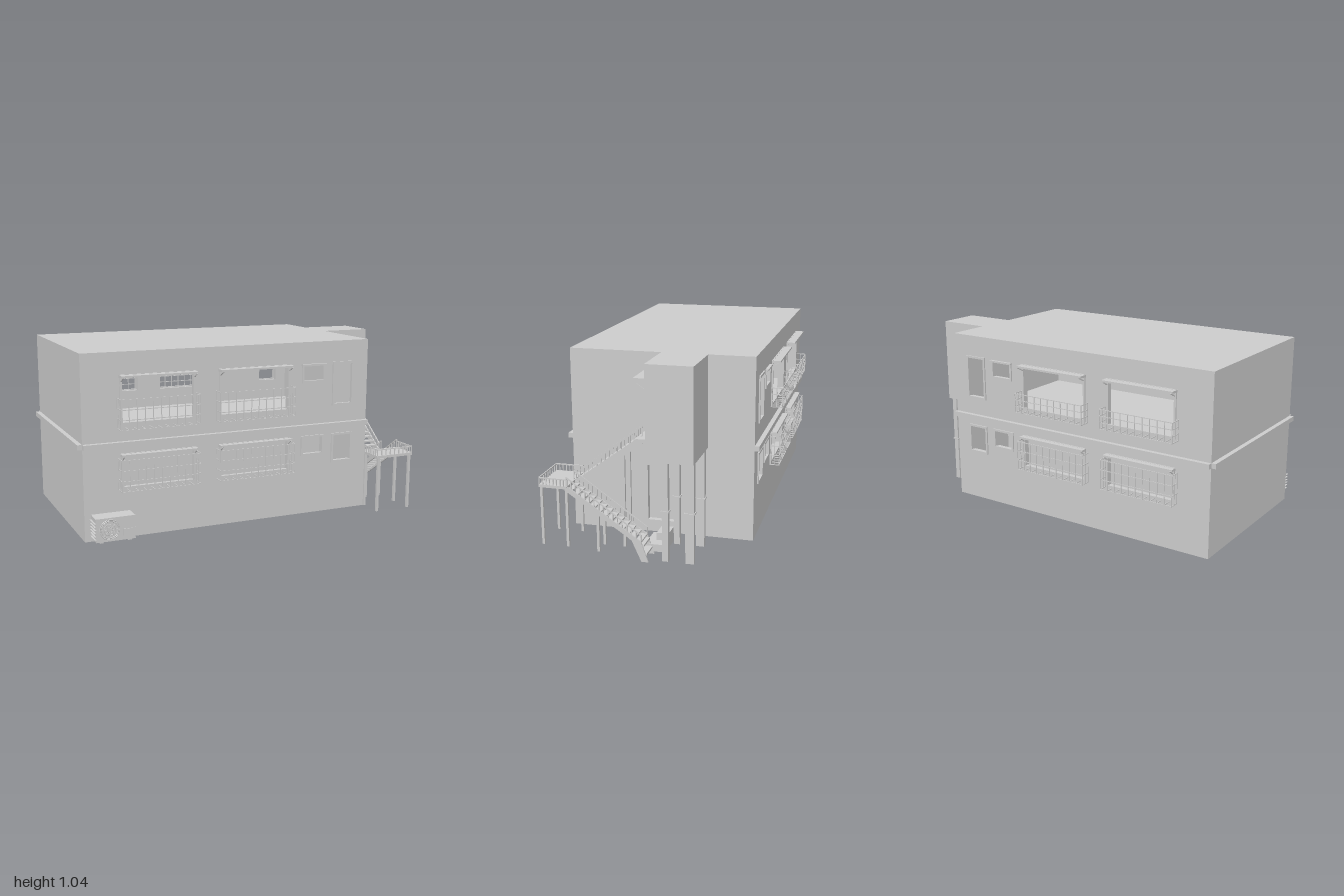
import * as THREE from 'three';

const mat = new THREE.MeshStandardMaterial({ color: 0xcccccc, flatShading: true, side: THREE.DoubleSide });

function add(parent, name, geo) {
  const m = new THREE.Mesh(geo, mat);
  m.name = name;
  parent.add(m);
  return m;
}
// Box given by its extents
function box(parent, name, x0, x1, y0, y1, z0, z1) {
  const m = add(parent, name, new THREE.BoxGeometry(Math.abs(x1 - x0), Math.abs(y1 - y0), Math.abs(z1 - z0)));
  m.position.set((x0 + x1) / 2, (y0 + y1) / 2, (z0 + z1) / 2);
  return m;
}
// Thin square bar between two points
function bar(parent, name, a, b, t = 0.004) {
  const A = new THREE.Vector3(...a), B = new THREE.Vector3(...b);
  const m = add(parent, name, new THREE.BoxGeometry(t, t, A.distanceTo(B)));
  m.position.copy(A).add(B).multiplyScalar(0.5);
  m.lookAt(B);
  return m;
}
function group(parent, name) {
  const g = new THREE.Group();
  g.name = name;
  parent.add(g);
  return g;
}
const rect = (P, x0, x1, y0, y1) => new P([[x0, y0], [x1, y0], [x1, y1], [x0, y1]].map(p => new THREE.Vector2(...p)));
// Wall slab with rectangular openings
function wallGeo(x0, x1, y0, y1, holes, depth) {
  const s = rect(THREE.Shape, x0, x1, y0, y1);
  s.holes = holes.map(h => rect(THREE.Path, ...h));
  return new THREE.ExtrudeGeometry(s, { depth, bevelEnabled: false });
}
// Side profile in (z, y), extruded along x
function sideProfile(parent, name, pts, x0, x1) {
  const s = new THREE.Shape(pts.map(([z, y]) => new THREE.Vector2(-z, y)));
  const m = add(parent, name, new THREE.ExtrudeGeometry(s, { depth: x1 - x0, bevelEnabled: false }));
  m.rotation.y = Math.PI / 2;
  m.position.x = x0;
  return m;
}

const L = -0.975, R = 0.70, F = 0.475, B = -0.51, Y0 = 0.06, Y1 = 1.04, T = 0.03;
// Openings: x0, x1, y0, y1
const windows = [
  [-0.765, -0.365, 0.67, 0.915], [-0.215, 0.195, 0.67, 0.915], [0.285, 0.415, 0.82, 0.91], [0.48, 0.60, 0.68, 0.915],
  [-0.765, -0.365, 0.33, 0.505], [-0.215, 0.195, 0.33, 0.505], [0.285, 0.415, 0.405, 0.505], [0.48, 0.60, 0.35, 0.505],
];

function buildShell(root) {
  const g = group(root, 'building');
  box(g, 'roof', L, R, Y1 - T, Y1, B, F);
  box(g, 'base', L, R, Y0, Y0 + T, B, F);
  box(g, 'leftWall', L, L + T, Y0 + T, Y1 - T, B, F);
  const holes = windows;
  add(g, 'frontWall', wallGeo(L, R, Y0 + T, Y1 - T, holes, T)).position.z = F - T;
  add(g, 'backWall', wallGeo(L, R, Y0 + T, Y1 - T, holes, T)).position.z = B;
  // Right wall with the ground floor doorway
  const right = add(g, 'rightWall', wallGeo(-F, -B, Y0 + T, Y1 - T, [[-0.06, 0.095, 0.125, 0.43]], T));
  right.rotation.y = Math.PI / 2;
  right.position.x = R - T;
  box(g, 'upperFloor', L + T, R - T, 0.53, 0.56, B + T, F - T);
  box(g, 'corridor', L + T, R - T, Y0 + T, 0.43, -0.095, 0.06);
  box(g, 'tallPane', 0.48, 0.60, 0.68, 0.915, F - 0.014, F - 0.01);
  // Band between the floors
  box(g, 'frontLedge', L, R, 0.55, 0.577, F, 0.50);
  box(g, 'backLedge', L, R, 0.55, 0.577, -0.535, B);
  box(g, 'leftLedge', -1.0, L, 0.55, 0.577, B, F);
}

// Frame, awning and cage for each opening; s = +1 front, -1 back
function buildWindows(root, s) {
  const wall = s > 0 ? F : B;
  const g = group(root, s > 0 ? 'frontWindows' : 'backWindows');
  const z = d => wall + s * d;
  windows.forEach(([x0, x1, y0, y1], i) => {
    const w = 0.012;
    const frame = add(g, 'windowFrame', wallGeo(x0 - w * 0.6, x1 + w * 0.6, y0 - w * 0.6, y1 + w * 0.6,
      [[x0 + w * 0.4, x1 - w * 0.4, y0 + w * 0.4, y1 - w * 0.4]], 0.016));
    frame.position.z = s > 0 ? F - 0.008 : B - 0.008;
    if (i === 2) box(g, 'smallAwning', x0 - 0.01, x1 + 0.01, y1, y1 + 0.008, wall, z(0.018));
    if (i % 4 > 1) return;
    const upper = i < 4, out = upper ? 0.05 : 0.038;
    // Sloped awning
    sideProfile(g, 'awning', [[z(0), y1 - 0.008], [z(out), y1 - 0.004], [z(out), y1 + 0.006], [z(0), y1 + 0.006]], x0 - 0.01, x1 + 0.01);
    for (const x of [x0, x1]) bar(g, 'awningBracket', [x, y1 - 0.03, wall], [x, y1 - 0.003, z(out)], 0.005);
    // Railing cage
    const r = group(g, 'windowRailing');
    const a = x0 - 0.022, b = x1 + 0.013, d = s > 0 ? 0.065 : (upper ? 0.065 : 0.055);
    const lo = upper ? (s > 0 ? 0.645 : 0.66) : 0.322;
    const hi = upper ? (s > 0 ? 0.803 : 0.768) : 0.488;
    for (let k = 0; k < 4; k++) {
      const y = lo + (hi - lo) * k / 3;
      bar(r, 'rail', [a, y, z(d)], [b, y, z(d)]);
      for (const x of [a, b]) bar(r, 'sideRail', [x, y, wall], [x, y, z(d)]);
    }
    for (let k = 0; k <= 10; k++) {
      const x = a + (b - a) * k / 10;
      bar(r, 'upright', [x, lo, z(d)], [x, hi, z(d)]);
      bar(r, 'bottomBar', [x, lo, wall], [x, lo, z(d)]);
    }
    for (const x of [a, b]) for (const q of [0.004, d / 2]) bar(r, 'sideUpright', [x, lo, z(q)], [x, hi, z(q)]);
  });
}

function buildTower(root) {
  const g = group(root, 'tower');
  box(g, 'towerBody', R, 1.0, 0.55, Y1, -0.265, -0.02);
  box(g, 'towerDoor', 0.70, 0.895, 0.63, 0.92, -0.02, -0.016);
  box(g, 'doorCanopy', 0.70, 0.90, 0.92, 0.945, -0.02, 0.07);
  bar(g, 'canopyBrace', [0.893, 0.865, -0.02], [0.893, 0.92, 0.06]);
  // Columns with collars
  for (const x of [0.735, 0.962]) for (const [z, w] of [[-0.111, 0.032], [-0.238, 0.044]]) {
    box(g, 'column', x - 0.015, x + 0.015, 0.02, 0.55, z - w / 2, z + w / 2);
    box(g, 'columnCollar', x - 0.02, x + 0.02, 0.283, 0.29, z - w / 2 - 0.005, z + w / 2 + 0.005);
  }
}

// One stair flight from [z, y] at the foot to [z, y] at the head
function flight(parent, name, x0, x1, foot, head, n, under) {
  const g = group(parent, name);
  const at = t => [foot[0] + (head[0] - foot[0]) * t, foot[1] + (head[1] - foot[1]) * t];
  for (const x of [x0, x1 - 0.008]) {
    sideProfile(g, 'stringer', [foot, head, [head[0], head[1] - under], [foot[0], foot[1] - under]], x, x + 0.008);
    const xc = x + 0.004;
    bar(g, 'handrail', [xc, foot[1] + 0.035, foot[0]], [xc, head[1] + 0.045, head[0]], 0.006);
    for (let k = 0; k <= 16; k++) {
      const [z, y] = at(k / 16);
      bar(g, 'baluster', [xc, y - 0.005, z], [xc, y + 0.035 + 0.01 * k / 16, z], 0.005);
    }
  }
  for (let k = 0; k < n; k++) {
    const [z, y] = at((k + 0.5) / n);
    const d = Math.abs(head[0] - foot[0]) / n / 2 + 0.002;
    box(g, 'tread', x0 + 0.004, x1 - 0.004, y - 0.018, y - 0.01, z - d, z + d);
  }
}

function buildStairs(root) {
  const g = group(root, 'outdoorStairs');
  flight(g, 'upperFlight', 0.735, 0.85, [0.405, 0.37], [0.04, 0.64], 13, 0.045);
  flight(g, 'lowerFlight', 0.85, 0.968, [0.02, 0.11], [0.415, 0.375], 13, 0.03);
  box(g, 'upperLanding', 0.70, 0.90, 0.615, 0.632, -0.02, 0.06);
  // Turning landing with low railing
  box(g, 'middleLanding', 0.73, 0.97, 0.357, 0.372, 0.41, 0.565);
  const corners = [[0.733, 0.41], [0.733, 0.562], [0.967, 0.562], [0.967, 0.41]];
  for (let c = 0; c < 3; c++) {
    const [ax, az] = corners[c], [bx, bz] = corners[c + 1];
    bar(g, 'landingRail', [ax, 0.408, az], [bx, 0.408, bz], 0.006);
    for (let k = 0; k <= 8; k++) {
      const x = ax + (bx - ax) * k / 8, z = az + (bz - az) * k / 8;
      bar(g, 'landingBaluster', [x, 0.37, z], [x, 0.408, z], 0.005);
    }
  }
  // Slanted stringer feet and the bottom steps
  for (const x of [0.85, 0.96])
    sideProfile(g, 'stringerFoot', [[0.07, 0.115], [0.02, 0.11], [-0.018, 0.0], [0.018, 0.0]], x, x + 0.008);
  box(g, 'footStep', 0.854, 0.964, 0.035, 0.045, -0.01, 0.03);
  box(g, 'footStep', 0.854, 0.964, 0.08, 0.09, 0.005, 0.045);
  box(g, 'doorStep', R, 0.86, 0.015, 0.055, -0.08, 0.03);
  box(g, 'doorStep', R, 0.80, 0.055, 0.095, -0.08, -0.015);
  // Legs: x, z, bottom, top
  for (const [x, z, y0, y1] of [
    [0.745, 0.555, 0.04, 0.357], [0.955, 0.555, 0.04, 0.357], [0.745, 0.418, 0.04, 0.357], [0.955, 0.418, 0.04, 0.357],
    [0.862, 0.25, 0.03, 0.24], [0.957, 0.25, 0.03, 0.24], [0.745, 0.146, 0.02, 0.53], [0.84, 0.146, 0.02, 0.53]])
    box(g, 'stairLeg', x - 0.007, x + 0.007, y0, y1, z - 0.007, z + 0.007);
}

function buildCooler(root) {
  const g = group(root, 'airConditioner');
  box(g, 'coolerBody', -0.94, -0.73, 0.08, 0.205, F, 0.565);
  // Fan guard
  for (const r of [0.015, 0.03, 0.045, 0.053]) {
    add(g, 'fanRing', new THREE.TorusGeometry(r, 0.002, 4, 20)).position.set(-0.868, 0.143, 0.568);
  }
  for (let k = 0; k < 4; k++) {
    const a = Math.PI * k / 4, c = 0.053 * Math.cos(a), s = 0.053 * Math.sin(a);
    bar(g, 'fanSpoke', [-0.868 - c, 0.143 - s, 0.57], [-0.868 + c, 0.143 + s, 0.57], 0.003);
  }
  box(g, 'controlPanel', -0.797, -0.747, 0.092, 0.138, 0.565, 0.569);
  box(g, 'valveCover', -0.73, -0.718, 0.088, 0.13, 0.50, 0.54);
  for (let k = 0; k < 6; k++) box(g, 'sideFin', -0.95, -0.94, 0.095 + k * 0.017, 0.098 + k * 0.017, 0.485, 0.572);
  for (const x of [-0.92, -0.77]) box(g, 'coolerFoot', x, x + 0.02, 0.073, 0.08, F, 0.56);
}

export function createModel() {
  const root = new THREE.Group();
  root.name = 'twoStoreyBuilding';
  buildShell(root);
  buildWindows(root, 1);
  buildWindows(root, -1);
  buildTower(root);
  buildStairs(root);
  buildCooler(root);
  return root;
}
